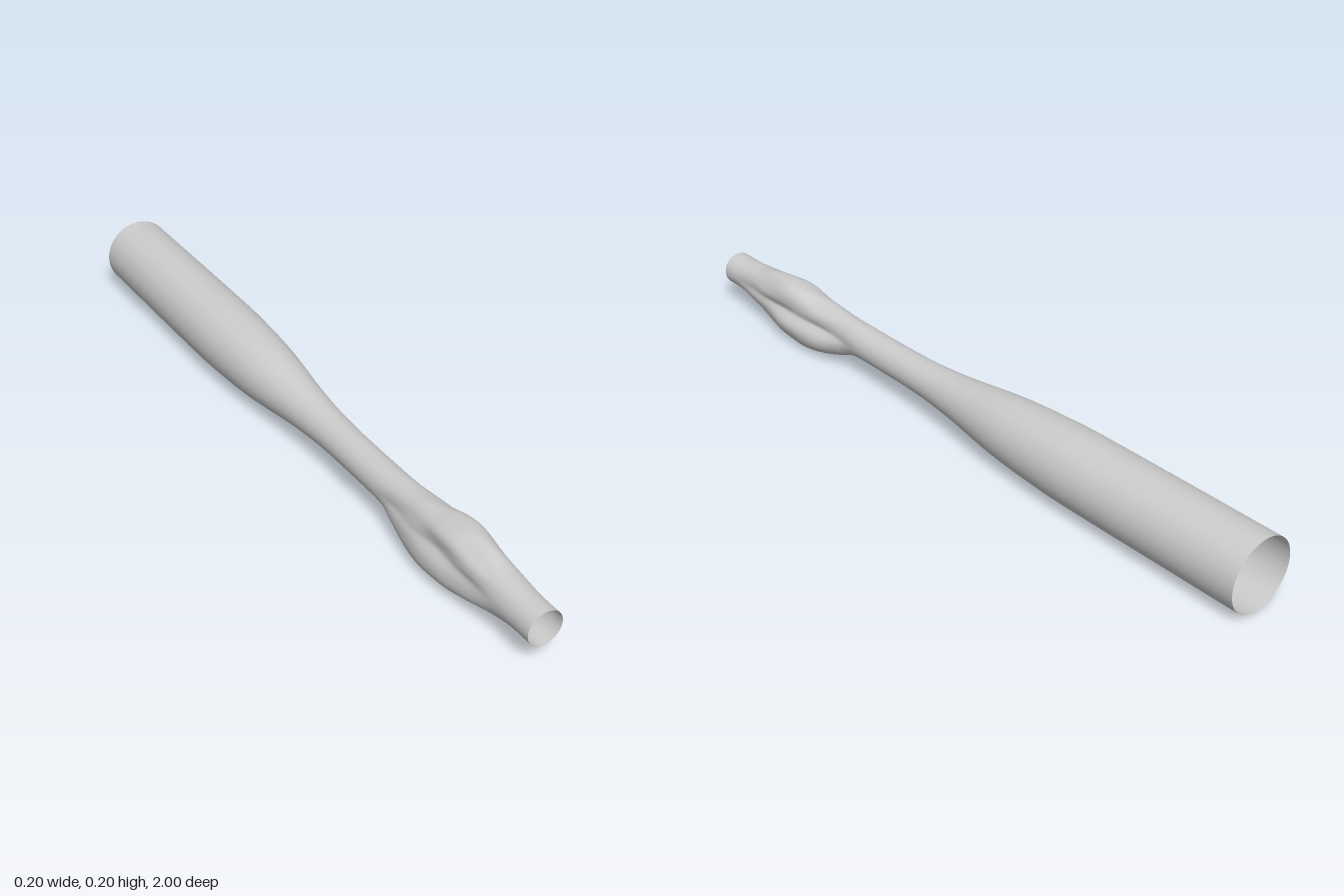
import * as THREE from 'three';
import { mergeVertices } from 'three/addons/utils/BufferGeometryUtils.js';

const AXIS_Y = 0.108;

// smooth monotone-ish interpolation through [position, value] pairs
function sample(table, t) {
  const n = table.length;
  if (t <= table[0][0]) return table[0][1];
  if (t >= table[n - 1][0]) return table[n - 1][1];
  let i = 0;
  while (t > table[i + 1][0]) i++;
  const slope = (k) => (k <= 0 || k >= n - 1) ? 0
    : (table[k + 1][1] - table[k - 1][1]) / (table[k + 1][0] - table[k - 1][0]);
  const [x0, y0] = table[i], [x1, y1] = table[i + 1];
  const h = x1 - x0, u = (t - x0) / h, u2 = u * u, u3 = u2 * u;
  return (2 * u3 - 3 * u2 + 1) * y0 + (u3 - 2 * u2 + u) * h * slope(i)
    + (3 * u2 - 2 * u3) * y1 + (u3 - u2) * h * slope(i + 1);
}

// plain tube radius along z
const barrel = [[-1, 0.098], [-0.5, 0.098], [-0.38, 0.096], [-0.2, 0.085], [0, 0.06],
  [0.12, 0.05], [0.25, 0.047], [0.6, 0.047], [1, 0.047]];
// strength of the swelling along z, above and below
const upper = [[0.3, 0], [0.42, 0.08], [0.5, 0.22], [0.6, 0.55], [0.66, 0.9], [0.71, 1], [0.78, 0.7], [0.86, 0.25], [0.95, 0]];
const lower = [[0.34, 0], [0.42, 0.08], [0.47, 0.4], [0.52, 0.72], [0.57, 0.9], [0.63, 1], [0.7, 0.93],
  [0.76, 0.65], [0.82, 0.4], [0.9, 0.1], [0.96, 0]];
// swelling height around the section, every 22.5 degrees from +x
const lobes = [4, 16, 26, 30, 28, 22, 17, 6, 4, 24, 46, 53, 46, 56, 48, 32].map((v) => v / 1000);
const lobeTable = [...lobes, lobes[0]].map((v, i) => [i * Math.PI / 8, v]);

function radiusAt(a, z) {
  const low = THREE.MathUtils.smoothstep(-Math.sin(a), -0.3, 0.3);
  const env = THREE.MathUtils.lerp(sample(upper, z), sample(lower, z), low);
  // shallow lengthwise folds
  const fold = 0.0025 * Math.sin(5 * a + 9 * z) * Math.sin(26 * z) * Math.min(1, env * 2);
  // pinched flanks just behind the swelling
  const pinch = 0.006 * Math.cos(a) ** 4 * Math.exp(-(((z - 0.48) / 0.07) ** 2));
  return sample(barrel, z) + sample(lobeTable, a) * env + fold - pinch;
}

export function createModel() {
  const group = new THREE.Group();

  // open-ended tube reshaped by the radius rule
  let geo = new THREE.CylinderGeometry(1, 1, 2, 80, 200, true);
  geo.rotateX(Math.PI / 2);
  geo.deleteAttribute('uv');
  geo.deleteAttribute('normal');
  geo = mergeVertices(geo, 1e-5);
  const p = geo.attributes.position;
  for (let i = 0; i < p.count; i++) {
    const a = (Math.atan2(p.getY(i), p.getX(i)) + Math.PI * 2) % (Math.PI * 2);
    const z = p.getZ(i), r = radiusAt(a, z);
    p.setXYZ(i, r * Math.cos(a), AXIS_Y + r * Math.sin(a), z);
  }
  geo.computeVertexNormals();

  const tube = new THREE.Mesh(geo, new THREE.MeshStandardMaterial({ color: 0xcccccc, side: THREE.DoubleSide }));
  tube.name = 'swollenTube';
  group.add(tube);
  return group;
}
